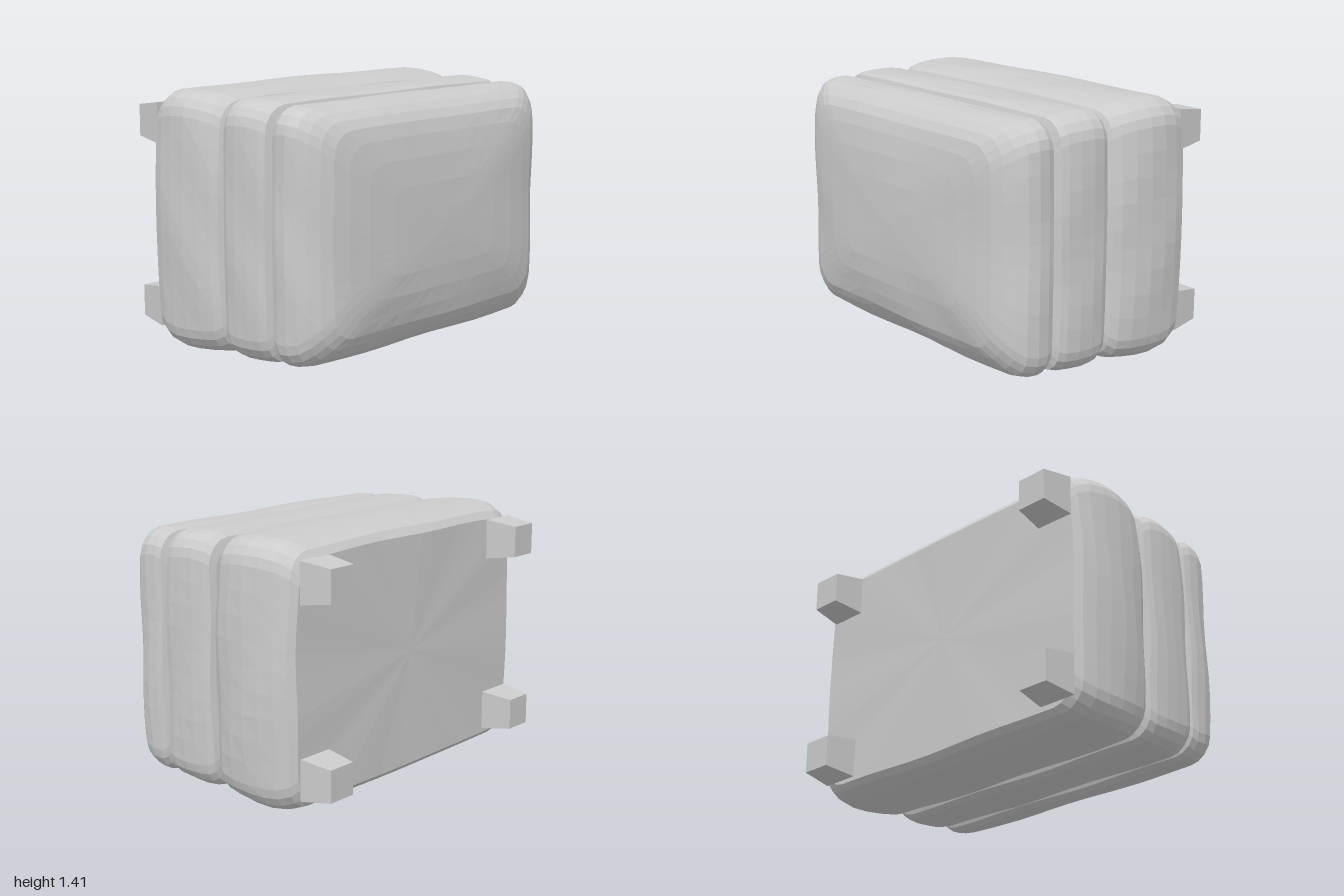
import * as THREE from 'three';

const material = new THREE.MeshStandardMaterial({ color: 0xcccccc, flatShading: true, side: THREE.DoubleSide });

// Unit outline of a rounded rectangle, counter-clockwise, with bowed sides
function outline(hw, hh, bow) {
  const r = Math.min(0.13, hw * 0.3, hh * 0.3), points = [];
  const arc = 4, side = 9;
  const corners = [[1, -1, -Math.PI / 2], [1, 1, 0], [-1, 1, Math.PI / 2], [-1, -1, Math.PI]];
  const arcs = corners.map(([sx, sy, start]) => {
    const list = [];
    for (let i = 0; i <= arc; i++) {
      const a = start + (i / arc) * Math.PI / 2;
      list.push([sx * (hw - r) + r * Math.cos(a), sy * (hh - r) + r * Math.sin(a)]);
    }
    return list;
  });
  arcs.forEach((list, k) => {
    points.push(...list);
    const [ax, ay] = list[arc], [bx, by] = arcs[(k + 1) % 4][0];
    for (let i = 1; i < side; i++) {
      const t = i / side;
      points.push([ax + (bx - ax) * t, ay + (by - ay) * t]);
    }
  });
  return points.map(([x, y]) => [
    x * (1 - bow * (y / hh) ** 2),
    y * (1 - bow * 0.6 * (x / hw) ** 2),
  ]);
}

// Loft through sections [z, halfWidth, bottom, top], closed at both ends
function cushion(name, sections, bow, seed) {
  const positions = [], index = [];
  let count = 0;
  sections.forEach(([z, hw, bottom, top], s) => {
    const ring = outline(hw, (top - bottom) / 2, bow);
    count = ring.length;
    const inner = s > 0 && s < sections.length - 1 ? 1 : 0;
    for (const [x, y] of ring) {
      // gentle creases in the upholstery
      const w = inner * 0.005 * Math.min(1, hw) * Math.sin(x * 7 + y * 9 + z * 12 + seed);
      positions.push(x * (1 + w * 0.8), (bottom + top) / 2 + y * (1 + w), z + w * 0.8);
    }
  });
  for (let s = 0; s < sections.length - 1; s++) {
    for (let j = 0; j < count; j++) {
      const k = (j + 1) % count;
      const a = s * count + j, b = s * count + k;
      index.push(a, b, b + count, a, b + count, a + count);
    }
  }
  const geometry = new THREE.BufferGeometry();
  geometry.setAttribute('position', new THREE.Float32BufferAttribute(positions, 3));
  geometry.setIndex(index);
  geometry.computeVertexNormals();
  const mesh = new THREE.Mesh(geometry, material);
  mesh.name = name;
  return mesh;
}

export function createModel() {
  const group = new THREE.Group();
  group.name = 'footstool';

  // Thick padded base with a flat underside facing back
  group.add(cushion('base', [
    [-0.53, 0.01, 0.69, 0.71],
    [-0.53, 0.92, 0.07, 1.32],
    [-0.50, 0.955, 0.04, 1.36],
    [-0.43, 0.98, 0.015, 1.39],
    [-0.34, 0.995, 0.005, 1.402],
    [-0.24, 1.0, 0.005, 1.405],
    [-0.14, 0.99, 0.012, 1.4],
    [-0.06, 0.97, 0.025, 1.385],
    [-0.02, 0.945, 0.05, 1.365],
    [0.0, 0.91, 0.09, 1.33],
    [0.0, 0.01, 0.69, 0.71],
  ], 0.03, 0));

  // Middle cushion
  group.add(cushion('middleCushion', [
    [0.012, 0.01, 0.69, 0.71],
    [0.012, 0.91, 0.09, 1.32],
    [0.025, 0.945, 0.055, 1.355],
    [0.06, 0.96, 0.036, 1.375],
    [0.13, 0.97, 0.03, 1.385],
    [0.21, 0.97, 0.033, 1.385],
    [0.29, 0.962, 0.042, 1.378],
    [0.33, 0.95, 0.055, 1.365],
    [0.347, 0.91, 0.09, 1.32],
    [0.347, 0.01, 0.69, 0.71],
  ], 0.015, 2));

  // Front cushion with a crowned face
  group.add(cushion('frontCushion', [
    [0.357, 0.01, 0.69, 0.71],
    [0.357, 0.91, 0.11, 1.31],
    [0.375, 0.943, 0.065, 1.35],
    [0.41, 0.953, 0.048, 1.366],
    [0.47, 0.955, 0.05, 1.365],
    [0.53, 0.938, 0.065, 1.355],
    [0.575, 0.9, 0.1, 1.33],
    [0.615, 0.85, 0.15, 1.295],
    [0.645, 0.79, 0.2, 1.25],
    [0.665, 0.7, 0.28, 1.18],
    [0.683, 0.57, 0.37, 1.07],
    [0.695, 0.4, 0.48, 0.93],
    [0.7, 0.2, 0.59, 0.8],
    [0.702, 0.01, 0.69, 0.71],
  ], 0.012, 4));

  // Four tapered square legs pointing back
  const legGeometry = new THREE.CylinderGeometry(0.085 * Math.SQRT2, 0.109 * Math.SQRT2, 0.175, 4)
    .rotateY(Math.PI / 4).rotateX(-Math.PI / 2);
  const legs = new THREE.Group();
  legs.name = 'legs';
  for (const x of [-0.8, 0.785]) {
    for (const y of [0.21, 1.203]) {
      const leg = new THREE.Mesh(legGeometry, material);
      leg.name = (x > 0 ? 'left' : 'right') + (y > 1 ? 'Upper' : 'Lower') + 'Leg';
      leg.position.set(x, y, -0.6175);
      legs.add(leg);
    }
  }
  group.add(legs);
  return group;
}
